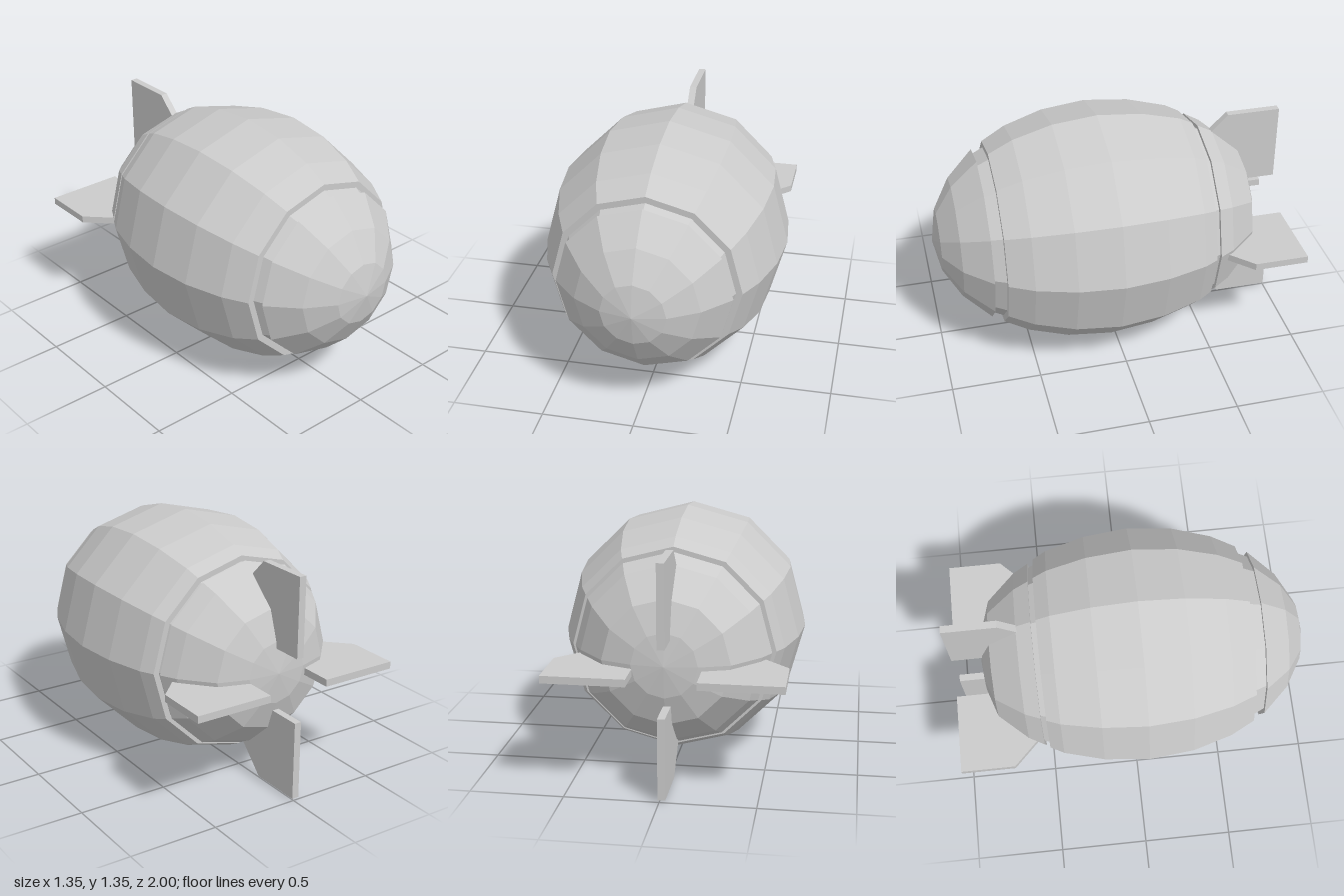
import * as THREE from 'three';

const material = new THREE.MeshStandardMaterial({ color: 0xcccccc, flatShading: true });
const CENTRE_Y = 0.675;

// Twelve-sided shell turned about the z axis; profile is [radius, z] from back to front
function shell(name, profile) {
  const points = profile.map(([r, z]) => new THREE.Vector2(r, z));
  const geometry = new THREE.LatheGeometry(points, 12).rotateX(Math.PI / 2);
  const mesh = new THREE.Mesh(geometry, material);
  mesh.name = name;
  mesh.position.y = CENTRE_Y;
  return mesh;
}

// Flat plate with a clipped leading corner, standing out along +y
function finGeometry() {
  const outline = [[1, 0.18], [1, 0.62], [0.7, 0.62], [0.54, 0.46], [0.54, 0.18]];
  const shape = new THREE.Shape(outline.map(([back, out]) => new THREE.Vector2(back, out)));
  const thickness = 0.04;
  return new THREE.ExtrudeGeometry(shape, { depth: thickness, bevelEnabled: false })
    .translate(0, 0, -thickness / 2)
    .rotateY(Math.PI / 2);
}

export function createModel() {
  const model = new THREE.Group();
  model.name = 'finnedBomb';

  // Nose cap with a flat rear lip
  model.add(shell('noseCap', [
    [0, 0.72], [0.477, 0.72], [0.335, 0.87], [0.175, 0.965], [0, 1],
  ]));

  // Main casing, closed at both ends
  model.add(shell('casing', [
    [0, -0.495], [0.55, -0.495], [0.59, -0.42], [0.65, -0.2], [0.675, 0.05],
    [0.65, 0.3], [0.585, 0.52], [0.515, 0.655], [0, 0.655],
  ]));

  // Tail cap with a flat front lip
  model.add(shell('tailCap', [
    [0, -0.845], [0.175, -0.825], [0.338, -0.77], [0.483, -0.61], [0.53, -0.525], [0, -0.525],
  ]));

  // Recessed bands in the two seams
  model.add(shell('frontSeam', [[0.482, 0.65], [0.447, 0.725]]));
  model.add(shell('rearSeam', [[0.505, -0.53], [0.52, -0.49]]));

  // Four tail fins around an axis slightly off the casing's own
  const fins = new THREE.Group();
  fins.name = 'tailFins';
  fins.position.set(-0.012, 0.632, 0);
  const geometry = finGeometry();
  for (let i = 0; i < 4; i++) {
    const fin = new THREE.Mesh(geometry, material);
    fin.name = 'tailFin';
    fin.rotation.z = (i * Math.PI) / 2;
    fins.add(fin);
  }
  model.add(fins);

  return model;
}
